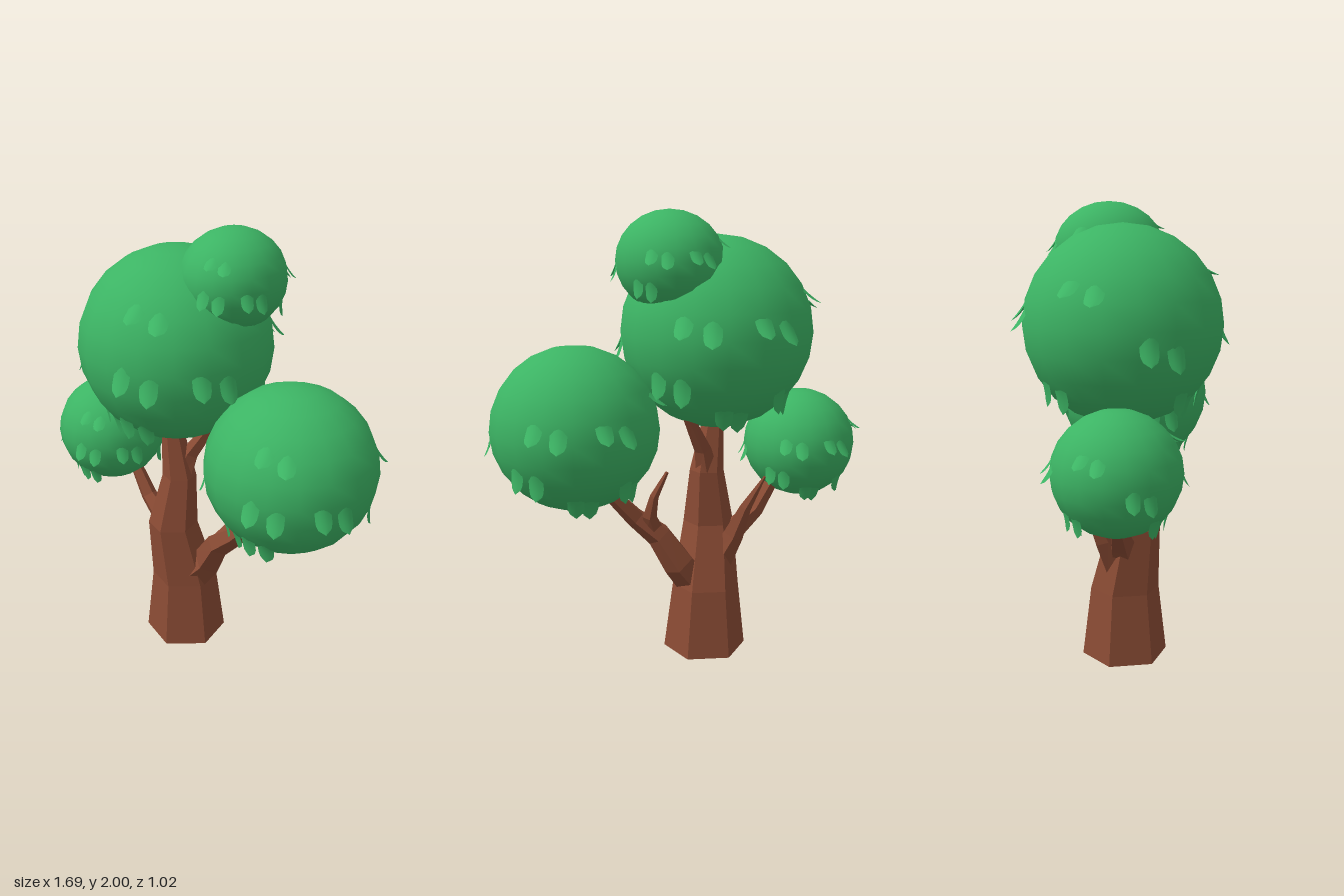
import * as THREE from 'three';

const RAD = Math.PI / 180;

// Low-poly limb: rings along the points, tapering evenly from r0 to r1, with closed ends
function limbGeometry(points, sides, r0, r1, level) {
  const pts = points.map(p => new THREE.Vector3(...p));
  const end = pts.length - 1;
  const pos = [], idx = [];
  const ref = new THREE.Vector3(0, 0, 1);
  pts.forEach((p, i) => {
    const t = level ? new THREE.Vector3(0, 1, 0)
      : pts[Math.min(i + 1, end)].clone().sub(pts[Math.max(i - 1, 0)]).normalize();
    const u = ref.clone().addScaledVector(t, -ref.dot(t)).normalize();
    const v = new THREE.Vector3().crossVectors(t, u);
    const r = THREE.MathUtils.lerp(r0, r1, i / end);
    for (let k = 0; k < sides; k++) {
      const a = k / sides * Math.PI * 2;
      const q = p.clone().addScaledVector(u, Math.cos(a) * r).addScaledVector(v, Math.sin(a) * r);
      pos.push(q.x, q.y, q.z);
    }
  });
  for (let i = 0; i < end; i++) {
    for (let k = 0; k < sides; k++) {
      const a = i * sides + k, b = i * sides + (k + 1) % sides;
      idx.push(a, b, b + sides, a, b + sides, a + sides);
    }
  }
  const last = end * sides;
  for (let k = 1; k < sides - 1; k++) {
    idx.push(0, k + 1, k, last, last + k, last + k + 1);
  }
  const g = new THREE.BufferGeometry();
  g.setAttribute('position', new THREE.Float32BufferAttribute(pos, 3));
  g.setIndex(idx);
  const flat = g.toNonIndexed();
  flat.computeVertexNormals();
  return flat;
}

// Tongue-shaped leaf hanging from its root, rounded at the tip and gently bent
function leafGeometry() {
  const g = new THREE.PlaneGeometry(1, 1, 4, 6);
  const p = g.attributes.position;
  for (let i = 0; i < p.count; i++) {
    const t = 0.5 - p.getY(i);
    const w = t < 0.55 ? 1 : Math.sqrt(Math.max(0, 1 - ((t - 0.55) / 0.45) ** 2));
    const x = p.getX(i) * w;
    p.setXYZ(i, x, -1.5 * t, 0.3 * t + 0.25 * t * t - 0.5 * x * x);
  }
  g.computeVertexNormals();
  return g;
}

export function createModel() {
  const bark = new THREE.MeshStandardMaterial({ color: 0x8a4b34 });
  bark.name = 'bark brown';
  const green = new THREE.MeshStandardMaterial({ color: 0x3cb464, side: THREE.DoubleSide });
  green.name = 'leaf green';

  const tree = new THREE.Group();
  tree.name = 'tree';

  // Trunk and branches
  function addLimb(name, sides, r0, r1, points, level = false) {
    const mesh = new THREE.Mesh(limbGeometry(points, sides, r0, r1, level), bark);
    mesh.name = name;
    tree.add(mesh);
  }
  addLimb('trunk', 6, 0.19, 0.04,
    [[-0.095, 0, -0.015], [-0.1, 0.31, -0.015], [-0.14, 0.6, 0.02], [-0.115, 0.85, 0], [-0.16, 1.15, 0]], true);
  addLimb('trunkFork', 5, 0.055, 0.025,
    [[-0.11, 0.84, -0.01], [-0.07, 0.96, -0.03], [0.03, 1.12, -0.06]]);
  addLimb('leftBranch', 5, 0.09, 0.03,
    [[-0.05, 0.33, 0], [0.04, 0.43, 0], [0.12, 0.57, 0.04], [0.22, 0.66, 0.08], [0.38, 0.84, 0.12]]);
  addLimb('leftTwig', 5, 0.045, 0.008,
    [[0.14, 0.6, 0.05], [0.185, 0.68, 0.02], [0.185, 0.78, -0.02], [0.145, 0.89, -0.06]]);
  addLimb('rightBranch', 5, 0.07, 0.025,
    [[-0.13, 0.46, -0.02], [-0.23, 0.55, -0.05], [-0.34, 0.64, -0.08], [-0.46, 0.83, -0.11]]);
  addLimb('rightTwig', 5, 0.07, 0.006,
    [[-0.14, 0.42, -0.05], [-0.18, 0.56, -0.12], [-0.2, 0.7, -0.18], [-0.25, 0.85, -0.25]]);

  // Leaf pairs shared by every foliage ball: azimuth from the front, elevation
  const leafPairs = [[0, 3], [-12, -36], [5, 40], [45, 2], [105, -18], [125, 16], [170, 16],
    [-165, -30], [-130, 30], [-85, -2], [-50, -36], [150, -42]];
  const leafGeo = leafGeometry();

  // Foliage ball with its hanging leaves
  function addFoliage(name, centre, radii) {
    const group = new THREE.Group();
    group.name = name;
    group.position.set(...centre);
    const ball = new THREE.Mesh(new THREE.SphereGeometry(1, 18, 12).scale(...radii), green);
    ball.name = 'foliageBall';
    group.add(ball);
    const size = 0.022 + 0.13 * radii[0];
    for (const [azimuth, elevation] of leafPairs) {
      for (const side of [0, 1]) {
        const a = (azimuth + side * 16) * RAD, e = (elevation - side * 4) * RAD;
        const leaf = new THREE.Mesh(leafGeo, green);
        leaf.name = 'leaf';
        leaf.position.set(Math.sin(a) * Math.cos(e), Math.sin(e), Math.cos(a) * Math.cos(e))
          .multiply(new THREE.Vector3(...radii)).multiplyScalar(0.98);
        leaf.rotation.set(-e, a, 0, 'YXZ');
        leaf.scale.setScalar(size);
        group.add(leaf);
      }
    }
    tree.add(group);
  }
  addFoliage('mainFoliage', [-0.14, 1.48, -0.03], [0.425, 0.42, 0.425]);
  addFoliage('leftFoliage', [0.49, 1.1, 0.12], [0.36, 0.35, 0.36]);
  addFoliage('rightFoliage', [-0.565, 0.945, -0.12], [0.255, 0.25, 0.26]);
  addFoliage('topFoliage', [0.12, 1.79, -0.05], [0.22, 0.21, 0.245]);
  return tree;
}
